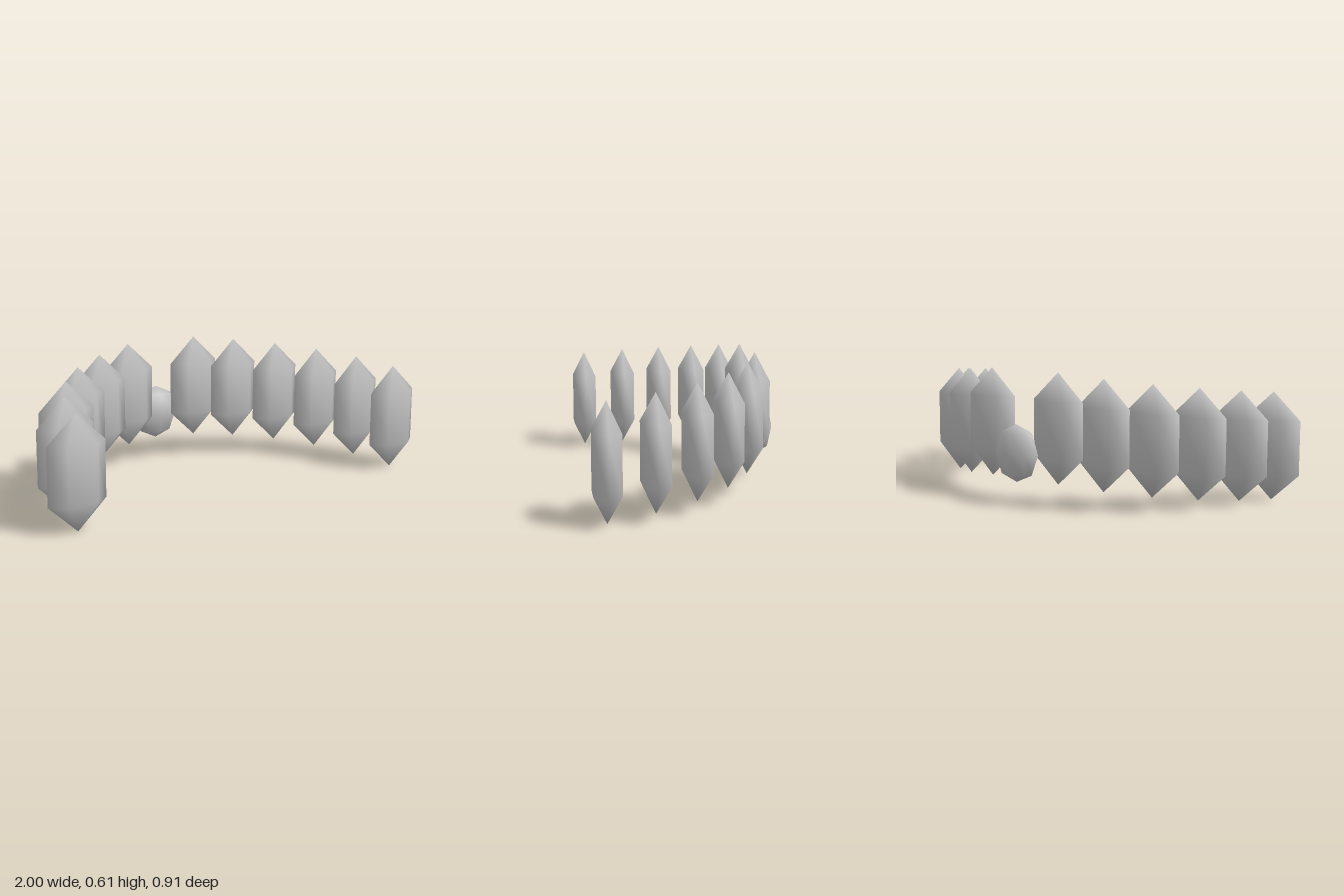
import * as THREE from 'three';

export function createModel() {
  const group = new THREE.Group();
  const grey = new THREE.MeshStandardMaterial({ color: 0xbfbfbf });
  grey.name = 'plain grey';

  // Low-sided smooth ellipsoid, placed by its centre
  function addStone(name, geometry, size, position) {
    const mesh = new THREE.Mesh(geometry, grey);
    mesh.name = name;
    mesh.scale.set(...size);
    mesh.position.set(...position);
    group.add(mesh);
  }

  // Six-sided pointed crystals along the arch, from the front ends to the back: [x, z]
  const crystal = new THREE.SphereGeometry(1, 6, 3);
  const places = [
    [0.865, 0.395], [0.808, 0.193], [0.705, 0.008],
    [0.563, -0.146], [0.386, -0.262], [0.19, -0.332],
  ];
  places.forEach(([x, z], i) => {
    const y = 0.252 + i * 0.021;
    for (const side of [1, -1]) {
      const name = (side > 0 ? 'leftCrystal' : 'rightCrystal') + (i + 1);
      addStone(name, crystal, [0.156, 0.25, 0.077], [side * x, y, z]);
    }
  });

  // Small bead joining both halves at the back
  addStone('centreBead', new THREE.SphereGeometry(1, 8, 4), [0.122, 0.131, 0.064], [0, 0.237, -0.39]);

  return group;
}
